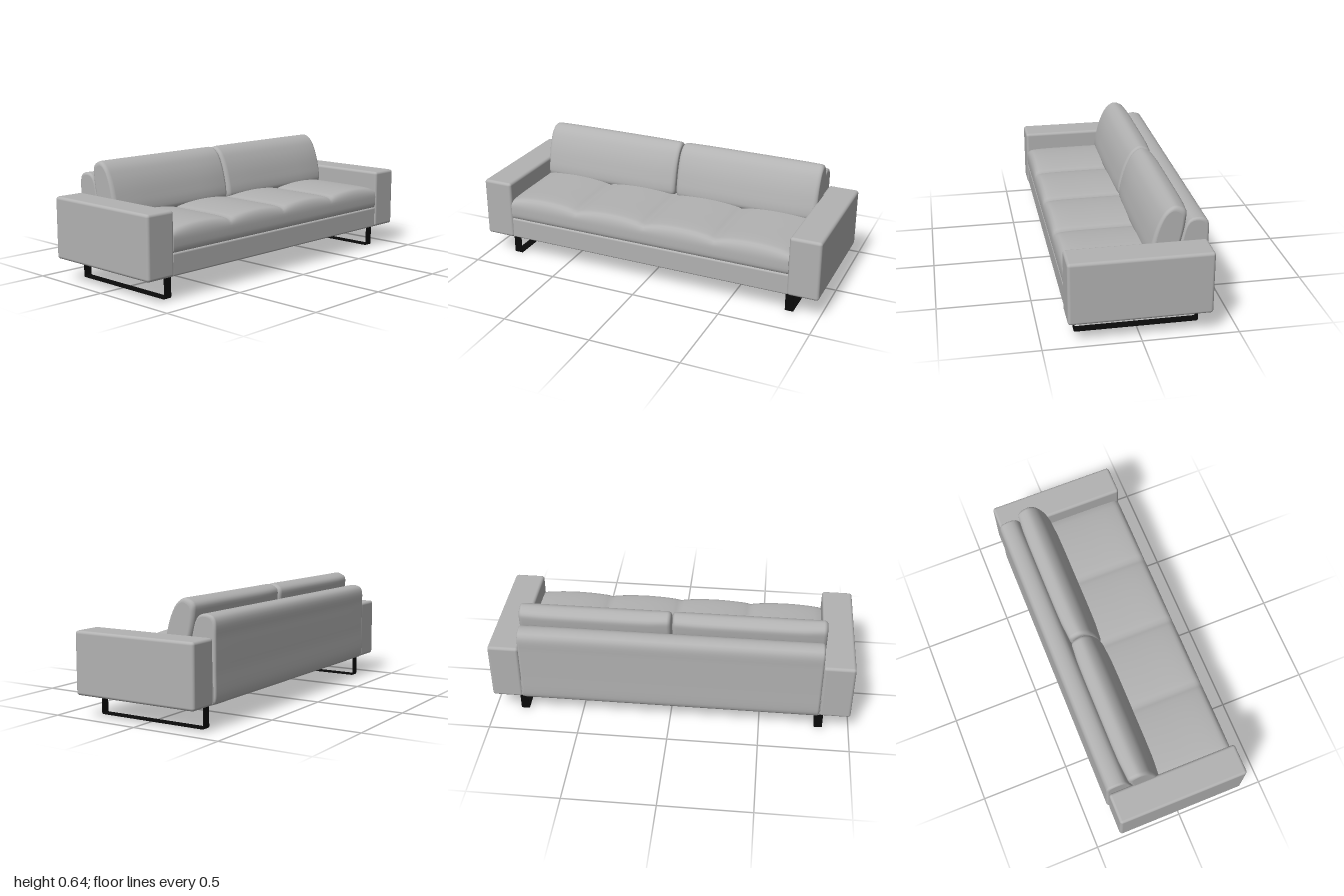
import * as THREE from 'three';
import { RoundedBoxGeometry } from 'three/addons/geometries/RoundedBoxGeometry.js';

const fabric = new THREE.MeshStandardMaterial({ color: 0xb2b2b2 });
fabric.name = 'grey upholstery';
const metal = new THREE.MeshStandardMaterial({ color: 0x0a0a0a });
metal.name = 'black metal';

function add(parent, name, geometry, material, x = 0, y = 0, z = 0) {
  const mesh = new THREE.Mesh(geometry, material);
  mesh.name = name;
  mesh.position.set(x, y, z);
  parent.add(mesh);
  return mesh;
}

// Box given by its limits, with rounded edges
function roundedBox(parent, name, min, max, radius) {
  const size = max.map((v, i) => v - min[i]);
  const mid = max.map((v, i) => (v + min[i]) / 2);
  add(parent, name, new RoundedBoxGeometry(...size, 4, radius), fabric, ...mid);
}

// Closed smooth outline through [z, y] points: up the back, over the top, down the front
function outline(points, count = 64) {
  const curve = new THREE.CatmullRomCurve3(
    points.map(([z, y]) => new THREE.Vector3(0, y, z)), true, 'centripetal');
  return curve.getSpacedPoints(count).slice(0, count);
}

// Joins rings of the outline along x; place(point, x, t) shapes each ring
function loft(ring, xs, place) {
  const n = ring.length, position = [], index = [];
  const rings = xs.map((x, i) => ring.map(p => place(p, x, i / (xs.length - 1))));
  rings.forEach(r => r.forEach(p => position.push(p.x, p.y, p.z)));
  for (let i = 0; i < xs.length - 1; i++) {
    for (let j = 0; j < n; j++) {
      const a = i * n + j, b = i * n + (j + 1) % n;
      index.push(a, b, a + n, b, b + n, a + n);
    }
  }
  // End caps
  [rings[0], rings[rings.length - 1]].forEach((r, end) => {
    const start = position.length / 3;
    const centre = r.reduce((s, p) => s.add(p), new THREE.Vector3()).divideScalar(n);
    [centre, ...r].forEach(p => position.push(p.x, p.y, p.z));
    for (let j = 0; j < n; j++) {
      const a = start + 1 + j, b = start + 1 + (j + 1) % n;
      index.push(start, end ? a : b, end ? b : a);
    }
  });
  const geometry = new THREE.BufferGeometry();
  geometry.setAttribute('position', new THREE.Float32BufferAttribute(position, 3));
  geometry.setIndex(index);
  geometry.computeVertexNormals();
  return geometry;
}

// Stations between two ends, closely spaced in the rounded ends
function stations(x0, x1, r) {
  const list = [], steps = 6;
  for (let i = 0; i <= steps; i++) list.push(x0 + r * (1 - Math.cos(i / steps * Math.PI / 2)));
  for (let i = 1; i < 8; i++) list.push(x0 + r + (x1 - x0 - 2 * r) * i / 8);
  for (let i = steps; i >= 0; i--) list.push(x1 - r * (1 - Math.cos(i / steps * Math.PI / 2)));
  return list;
}

// Stuffed shape with rounded ends of radius r; puff narrows its depth towards the ends
function cushion(points, x0, x1, r, puff) {
  const ring = outline(points);
  const box = new THREE.Box3().setFromPoints(ring);
  const c = box.getCenter(new THREE.Vector3()), size = box.getSize(new THREE.Vector3());
  return loft(ring, stations(x0, x1, r), (p, x) => {
    const d = Math.min(x - x0, x1 - x);
    const q = Math.max(0, 1 - d / r);
    const inset = r * (1 - Math.sqrt(Math.max(0, 1 - q * q)));
    const u = 2 * (x - x0) / (x1 - x0) - 1;
    const sz = (1 - 2 * inset / size.z) * (1 - puff * u ** 6);
    const sy = 1 - 2 * inset / size.y;
    return new THREE.Vector3(x, c.y + (p.y - c.y) * sy, c.z + (p.z - c.z) * sz);
  });
}

// Seat with four stitched sections, each slightly domed
function seatGeometry() {
  const ring = outline([
    [-0.24, 0.235], [-0.24, 0.29], [-0.24, 0.345], [-0.23, 0.355], [-0.1, 0.357], [0.1, 0.357],
    [0.3, 0.354], [0.345, 0.348], [0.362, 0.335], [0.367, 0.29], [0.362, 0.245], [0.35, 0.235],
    [0.2, 0.235], [0, 0.235]], 96);
  const xs = Array.from({ length: 81 }, (_, i) => -0.83 + 1.66 * i / 80);
  return loft(ring, xs, (p, x, t) => {
    const dome = Math.pow(Math.abs(Math.sin(t * 4 * Math.PI)), 0.6);
    const top = THREE.MathUtils.smoothstep(p.y, 0.32, 0.355);
    return new THREE.Vector3(x, p.y + top * (0.024 * dome - 0.002), p.z);
  });
}

// Flat sled leg: a rounded rectangular loop of wide, thin bar
function roundedRect(path, w, h, r) {
  path.moveTo(-w + r, 0);
  path.lineTo(w - r, 0).absarc(w - r, r, r, -Math.PI / 2, 0, false);
  path.lineTo(w, h - r).absarc(w - r, h - r, r, 0, Math.PI / 2, false);
  path.lineTo(-w + r, h).absarc(-w + r, h - r, r, Math.PI / 2, Math.PI, false);
  path.lineTo(-w, r).absarc(-w + r, r, r, Math.PI, Math.PI * 1.5, false);
  return path;
}

function legGeometry() {
  const bar = 0.006, width = 0.044;
  const shape = roundedRect(new THREE.Shape(), 0.323, 0.12, 0.01);
  const inner = roundedRect(new THREE.Path(), 0.323 - bar, 0.12 - 2 * bar, 0.006);
  shape.holes.push(new THREE.Path(inner.getPoints(6).map(p => p.add(new THREE.Vector2(0, bar)))));
  const geometry = new THREE.ExtrudeGeometry(shape, { depth: width, bevelEnabled: false, curveSegments: 6 });
  return geometry.translate(0, 0, -width / 2).rotateY(Math.PI / 2);
}

export function createModel() {
  const sofa = new THREE.Group();
  sofa.name = 'sofa';

  roundedBox(sofa, 'base', [-0.835, 0.121, -0.36], [0.835, 0.24, 0.364], 0.01);
  add(sofa, 'seat', seatGeometry(), fabric);

  // Backrest
  add(sofa, 'backrest', cushion([
    [-0.36, 0.123], [-0.368, 0.135], [-0.371, 0.3], [-0.371, 0.45], [-0.37, 0.53], [-0.358, 0.556],
    [-0.33, 0.567], [-0.3, 0.568], [-0.275, 0.56], [-0.255, 0.535], [-0.232, 0.455], [-0.21, 0.36],
    [-0.2, 0.25], [-0.2, 0.135], [-0.21, 0.123]], -0.828, 0.828, 0.014, 0), fabric);

  const backCushion = [
    [-0.2, 0.35], [-0.225, 0.42], [-0.248, 0.5], [-0.26, 0.57], [-0.261, 0.607], [-0.25, 0.622],
    [-0.222, 0.636], [-0.198, 0.641], [-0.172, 0.633], [-0.14, 0.608], [-0.112, 0.565],
    [-0.09, 0.515], [-0.072, 0.455], [-0.06, 0.4], [-0.06, 0.365], [-0.075, 0.35]];
  const legs = legGeometry();
  for (const [side, s] of [['left', 1], ['right', -1]]) {
    const xs = [s * 0.004, s * 0.838].sort((a, b) => a - b);
    add(sofa, side + 'BackCushion', cushion(backCushion, ...xs, 0.022, 0.12), fabric);
    const ax = [s * 0.828, s].sort((a, b) => a - b);
    roundedBox(sofa, side + 'Arm', [ax[0], 0.121, -0.362], [ax[1], 0.456, 0.37], 0.016);
    add(sofa, side + 'Leg', legs, metal, s * 0.832, 0, 0);
  }
  return sofa;
}
